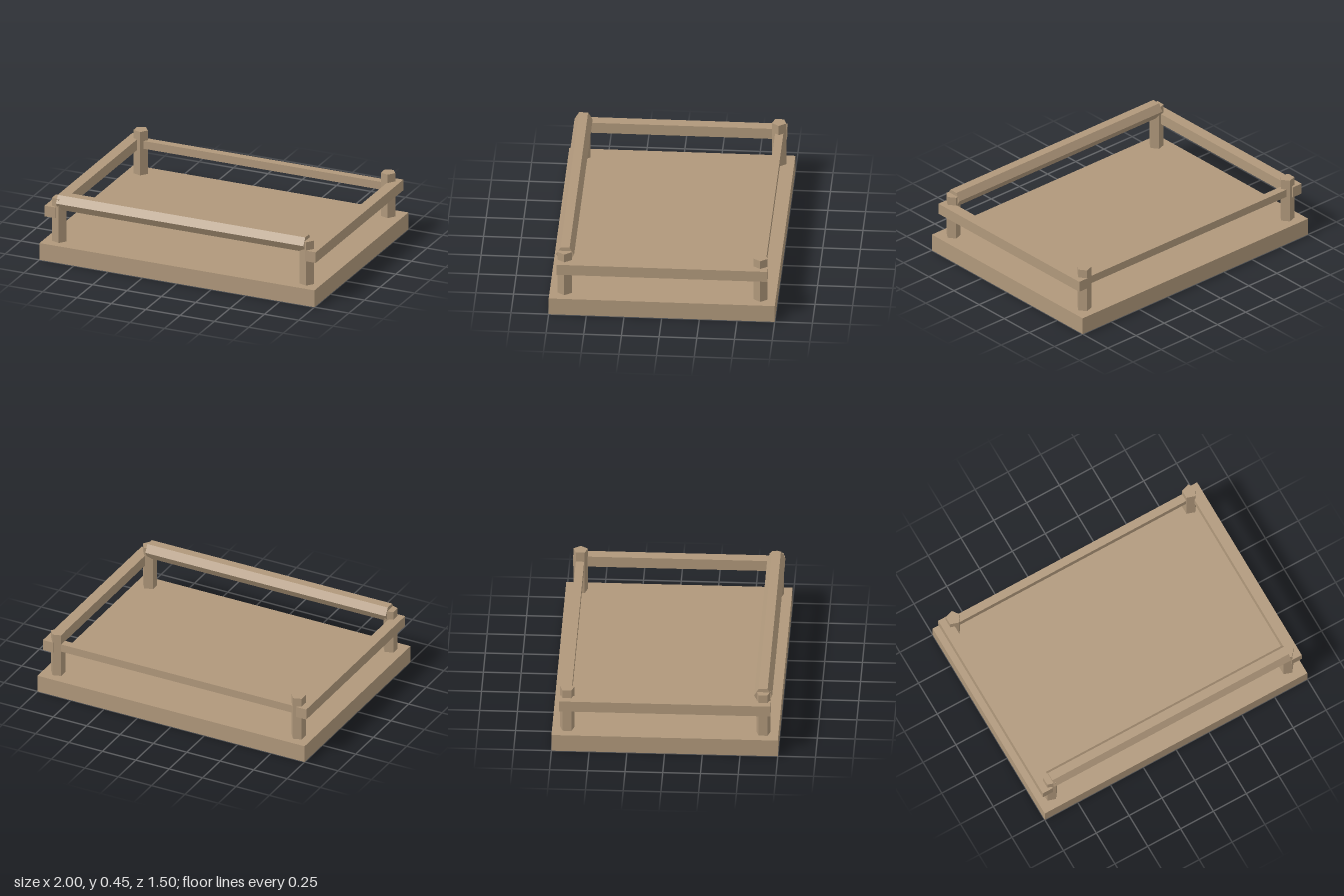
import * as THREE from 'three';

export function createModel() {
  const model = new THREE.Group();
  const wood = new THREE.MeshStandardMaterial({ color: 0xb0987b, flatShading: true });

  const add = (name, geometry, x, y, z) => {
    const mesh = new THREE.Mesh(geometry, wood);
    mesh.name = name;
    mesh.position.set(x, y, z);
    model.add(mesh);
    return mesh;
  };

  // Thick deck slab
  add('base', new THREE.BoxGeometry(2, 0.12, 1.5), 0, 0.06, 0);

  // Five-sided corner posts, all with one corner pointing to +x
  const post = new THREE.CylinderGeometry(0.05, 0.05, 0.31, 5, 1, false, Math.PI / 2);
  for (const [sx, xName] of [[1, 'Left'], [-1, 'Right']]) {
    for (const [sz, zName] of [[1, 'front'], [-1, 'back']]) {
      add(`${zName}${xName}Post`, post, sx * 0.9, 0.275, sz * 0.65);
    }
  }

  // Square side rails on the outside of the posts
  const sideRail = new THREE.BoxGeometry(0.076, 0.076, 1.4);
  add('leftRail', sideRail, 0.948, 0.333, 0);
  add('rightRail', sideRail, -0.948, 0.333, 0);

  // Thinner back rail between the posts
  add('backRail', new THREE.BoxGeometry(1.8, 0.055, 0.055), 0, 0.333, -0.652);

  // Six-sided front rail resting on the posts, flat side up
  const frontRail = add('frontRail', new THREE.CylinderGeometry(0.06, 0.06, 1.8, 6), 0, 0.403, 0.648);
  frontRail.rotation.z = Math.PI / 2;

  return model;
}
